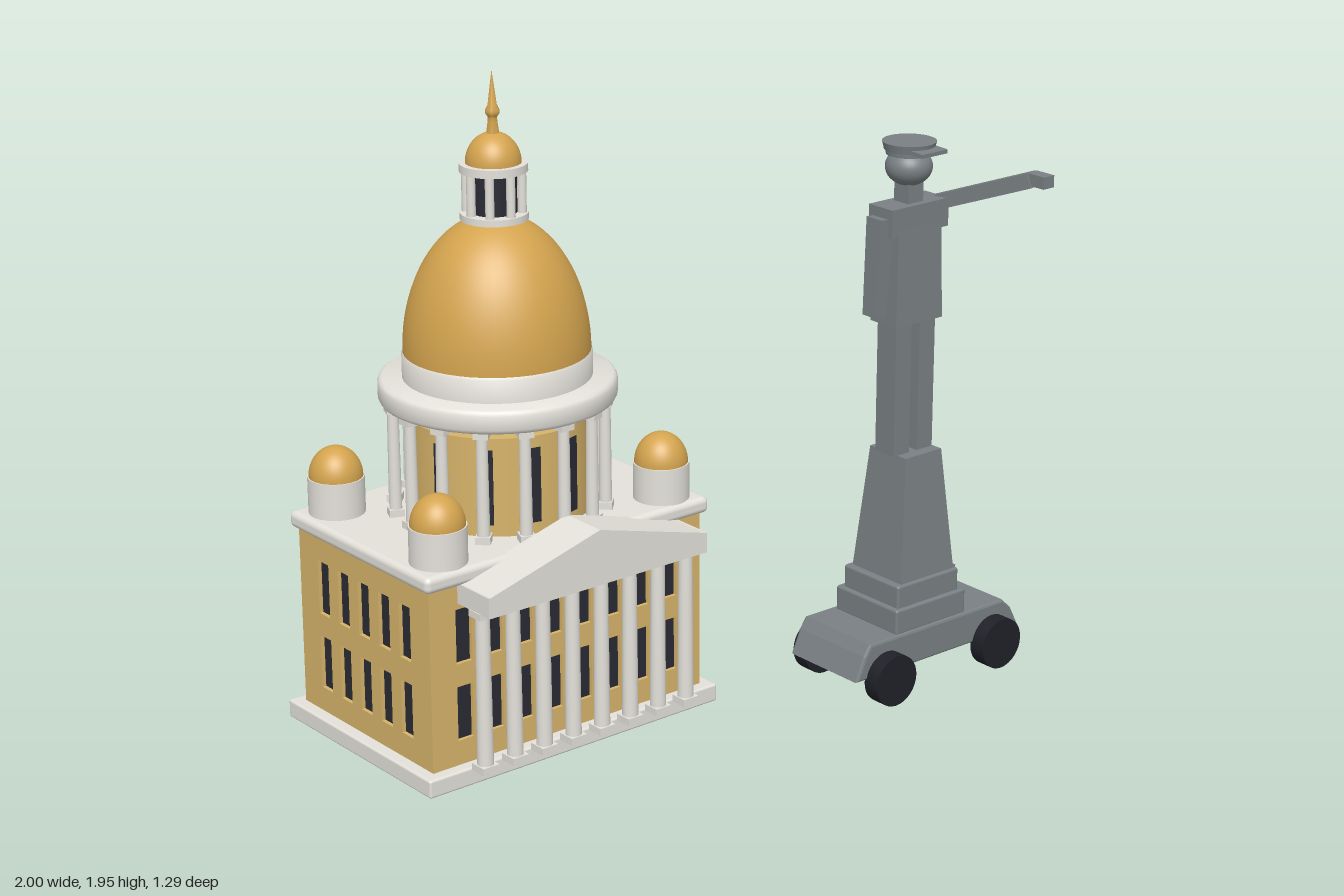
import * as THREE from 'three';
import { RoundedBoxGeometry } from 'three/addons/geometries/RoundedBoxGeometry.js';
import { toCreasedNormals } from 'three/addons/utils/BufferGeometryUtils.js';

const mat = (name, color) => Object.assign(new THREE.MeshStandardMaterial({ color }), { name });
const shapeOf = pts => new THREE.Shape(pts.map(p => new THREE.Vector2(...p)));
const rect = (x0, x1, y0, y1) => [[x0, y0], [x1, y0], [x1, y1], [x0, y1]];

export function createModel() {
  const stone = mat('stone', 0xe4e1da), wall = mat('ochre wall', 0xd6b36a), gold = mat('gold', 0xd4a44f);
  const glass = mat('dark glass', 0x2a2b34), steel = mat('statue grey', 0x798083), rubber = mat('rubber', 0x202128);
  const model = new THREE.Group();
  const building = new THREE.Group(), statue = new THREE.Group();
  building.name = 'domedBuilding';
  statue.name = 'statueOnCart';
  building.position.set(-0.472, 0, -0.282);
  statue.position.set(0.004, 0, -0.002);
  model.add(building, statue);

  const put = (parent, name, geo, material, x = 0, y = 0, z = 0) => {
    const m = new THREE.Mesh(geo, material);
    m.name = name;
    m.position.set(x, y, z);
    parent.add(m);
    return m;
  };
  // box given by its bottom height and top height
  const block = (parent, name, material, x, y0, y1, z, w, d, round = 0) => put(parent, name,
    round ? new RoundedBoxGeometry(w, y1 - y0, d, 3, round) : new THREE.BoxGeometry(w, y1 - y0, d),
    material, x, (y0 + y1) / 2, z);
  const drum = (parent, name, material, r0, r1, y0, y1, x = 0, z = 0, seg = 48) => put(parent, name,
    new THREE.CylinderGeometry(r1, r0, y1 - y0, seg), material, x, (y0 + y1) / 2, z);
  const lathe = (parent, name, material, pts) => put(parent, name,
    toCreasedNormals(new THREE.LatheGeometry(pts.map(p => new THREE.Vector2(...p)), 48), 0.7), material);
  const dome = (parent, name, r, h, x, y, z) => {
    const m = put(parent, name, new THREE.SphereGeometry(r, 48, 20, 0, Math.PI * 2, 0, Math.PI / 2), gold, x, y, z);
    m.scale.y = h / r;
  };
  // four-sided frustum with separate bottom and top sizes
  const taper = (parent, name, material, x, y0, y1, z, w0, d0, w1, d1) => {
    const g = new THREE.BoxGeometry(1, y1 - y0, 1), p = g.attributes.position;
    for (let i = 0; i < p.count; i++) {
      const top = p.getY(i) > 0;
      p.setX(i, p.getX(i) * (top ? w1 : w0));
      p.setZ(i, p.getZ(i) * (top ? d1 : d0));
    }
    g.computeVertexNormals();
    return put(parent, name, g, material, x, (y0 + y1) / 2, z);
  };
  const column = (name, x, z, y0, y1, r, turn = 0) => {
    const c = new THREE.Group();
    c.name = name;
    c.position.set(x, 0, z);
    c.rotation.y = turn;
    block(c, 'columnBase', stone, 0, y0, y0 + 0.022, 0, r * 2.3, r * 2.3);
    drum(c, 'columnShaft', stone, r, r * 0.88, y0 + 0.022, y1 - 0.02, 0, 0, 16);
    block(c, 'columnCapital', stone, 0, y1 - 0.02, y1, 0, r * 2.3, r * 2.3);
    building.add(c);
  };
  // wall with two rows of window openings
  const wallPanel = (name, width, count, gap, out, turn) => {
    const s = shapeOf(rect(-width / 2, width / 2, 0.055, 0.61));
    for (const y of [0.13, 0.365]) for (let i = 0; i < count; i++) {
      const x = (i - (count - 1) / 2) * gap;
      s.holes.push(shapeOf(rect(x - 0.027, x + 0.027, y, y + 0.165)));
    }
    const m = put(building, name, new THREE.ExtrudeGeometry(s, { depth: 0.012, bevelEnabled: false }), wall,
      Math.sin(turn) * out, 0, Math.cos(turn) * out);
    m.rotation.y = turn;
  };

  // main block
  block(building, 'baseSlab', stone, 0, 0, 0.055, 0, 1.05, 0.724, 0.007);
  block(building, 'windowGlass', glass, 0, 0.055, 0.61, 0, 0.951, 0.626);
  wallPanel('frontWall', 0.975, 8, 0.106, 0.313, 0);
  wallPanel('backWall', 0.975, 7, 0.129, 0.313, Math.PI);
  for (const s of [-1, 1]) wallPanel('sideWall', 0.626, 5, 0.102, 0.4755, s * Math.PI / 2);
  block(building, 'cornice', stone, 0, 0.605, 0.655, 0, 1.015, 0.694, 0.018);

  // portico
  for (let i = 0; i < 8; i++) column('porticoColumn', -0.365 + i * 0.1043, 0.407, 0.058, 0.55, 0.024);
  block(building, 'entablature', stone, 0, 0.548, 0.61, 0.397, 0.78, 0.154);
  const gable = shapeOf([[-0.39, 0], [0.39, 0], [0, 0.107]]);
  put(building, 'pediment', new THREE.ExtrudeGeometry(gable, { depth: 0.154, bevelEnabled: false }), stone, 0, 0.608, 0.32);

  // corner turrets
  for (const x of [-0.4, 0.4]) for (const z of [-0.253, 0.253]) {
    drum(building, 'turretDrum', stone, 0.083, 0.083, 0.65, 0.765, x, z, 32);
    dome(building, 'turretDome', 0.079, 0.09, x, 0.765, z);
  }

  // colonnaded drum and great dome
  drum(building, 'drumWall', wall, 0.265, 0.265, 0.65, 0.95);
  for (let i = 0; i < 12; i++) {
    const a = (i + 0.5) * Math.PI / 6;
    block(building, 'drumWindow', glass, Math.sin(a) * 0.262, 0.69, 0.915, Math.cos(a) * 0.262, 0.046, 0.009).rotation.y = a;
  }
  for (let i = 0; i < 16; i++) {
    const a = i * Math.PI / 8;
    column('drumColumn', Math.sin(a) * 0.31, Math.cos(a) * 0.31, 0.655, 0.99, 0.019, a);
  }
  lathe(building, 'drumCornice', stone, [[0, 0.988], [0.333, 0.988], [0.341, 0.992], [0.346, 1.002], [0.346, 1.043], [0.341, 1.053], [0.333, 1.058], [0, 1.058]]);
  lathe(building, 'domeCollar', stone, [[0.275, 1.05], [0.275, 1.125], [0.268, 1.135], [0, 1.135]]);
  dome(building, 'greatDome', 0.271, 0.4, 0, 1.133, 0);

  // lantern and spire
  drum(building, 'lanternFloor', stone, 0.098, 0.098, 1.52, 1.54);
  drum(building, 'lanternCore', glass, 0.066, 0.066, 1.54, 1.66, 0, 0, 24);
  for (let i = 0; i < 8; i++) {
    const a = i * Math.PI / 4;
    drum(building, 'lanternColumn', stone, 0.013, 0.013, 1.54, 1.66, Math.sin(a) * 0.08, Math.cos(a) * 0.08, 12);
  }
  drum(building, 'lanternCornice', stone, 0.098, 0.098, 1.66, 1.684);
  dome(building, 'lanternDome', 0.08, 0.088, 0, 1.684, 0);
  lathe(building, 'spire', gold, [[0.019, 1.765], [0.014, 1.8], [0.013, 1.815], [0.02, 1.825], [0.02, 1.835], [0.013, 1.85], [0, 1.95]]);

  // cart
  const side = shapeOf([[0.325, 0.098], [0.985, 0.098], [0.95, 0.162], [0.918, 0.192], [0.375, 0.192], [0.355, 0.162]]);
  put(statue, 'cartBody', new THREE.ExtrudeGeometry(side,
    { depth: 0.279, bevelSize: 0.008, bevelThickness: 0.008, bevelSegments: 2 }), steel, 0, 0, 0.123);
  for (const x of [0.434, 0.873]) for (const z of [0.11, 0.43])
    put(statue, 'wheel', new THREE.CylinderGeometry(0.08, 0.08, 0.055, 32), rubber, x, 0.083, z).rotation.x = Math.PI / 2;
  block(statue, 'towBar', steel, 0.785, 0.276, 0.295, 0.265, 0.12, 0.02);

  // pedestal
  block(statue, 'lowerStep', steel, 0.625, 0.195, 0.276, 0.265, 0.285, 0.27, 0.008);
  block(statue, 'upperStep', steel, 0.622, 0.27, 0.346, 0.268, 0.25, 0.24, 0.008);
  taper(statue, 'pedestal', steel, 0.625, 0.345, 0.73, 0.272, 0.215, 0.215, 0.145, 0.155);

  // standing figure
  for (const x of [0.568, 0.662]) block(statue, 'leg', steel, x, 0.73, 1.14, 0.273, 0.062, 0.08);
  taper(statue, 'coat', steel, 0.617, 1.135, 1.43, 0.27, 0.185, 0.11, 0.17, 0.1);
  block(statue, 'shoulders', steel, 0.617, 1.41, 1.495, 0.27, 0.225, 0.1);
  block(statue, 'neck', steel, 0.617, 1.49, 1.56, 0.268, 0.06, 0.06);
  put(statue, 'head', new THREE.SphereGeometry(0.07, 32, 20), steel, 0.615, 1.6, 0.268).scale.y = 0.82;
  drum(statue, 'capBand', steel, 0.068, 0.07, 1.638, 1.66, 0.615, 0.268, 32);
  drum(statue, 'capTop', steel, 0.074, 0.08, 1.652, 1.676, 0.615, 0.268, 32);
  block(statue, 'capVisor', steel, 0.615, 1.652, 1.664, 0.335, 0.1, 0.08).rotation.x = 0.05;
  taper(statue, 'restingArm', steel, 0.494, 1.17, 1.465, 0.272, 0.042, 0.055, 0.05, 0.065).rotation.z = -0.06;

  // raised arm reaching forward
  const shoulder = new THREE.Vector3(0.725, 1.465, 0.255), wrist = new THREE.Vector3(0.808, 1.593, 0.585);
  const arm = put(statue, 'raisedArm', new THREE.BoxGeometry(0.045, 0.045, shoulder.distanceTo(wrist)), steel);
  arm.position.copy(shoulder).lerp(wrist, 0.5);
  arm.lookAt(wrist);
  block(statue, 'hand', steel, 0.808, 1.577, 1.613, 0.61, 0.042, 0.07);
  return model;
}
